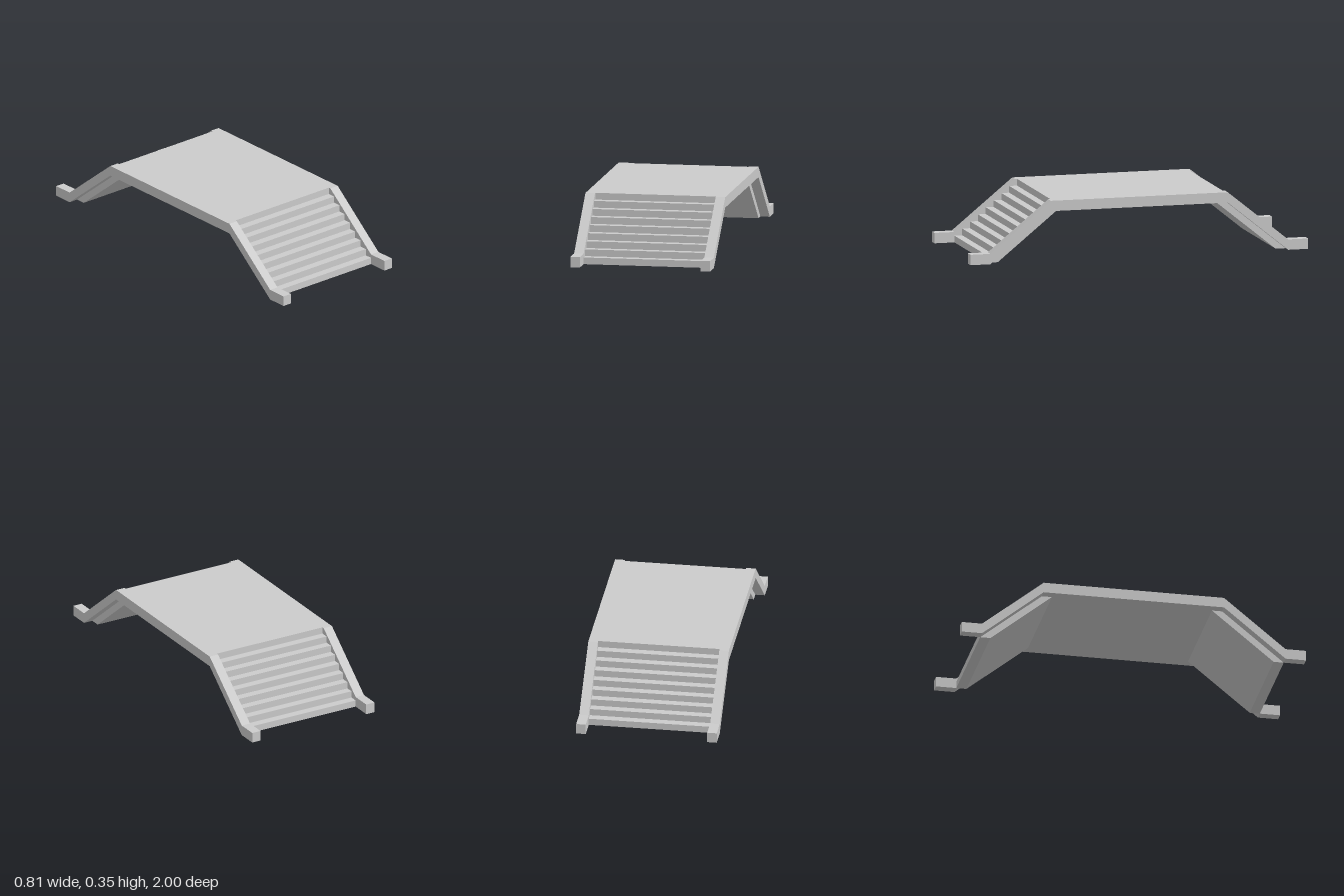
import * as THREE from 'three';

const HALF_W = 0.405, INNER = 0.35;      // outer and inner half widths
const TOP = 0.35, THICK = 0.06;          // deck height and beam thickness
const FOOT = 0.882, CREST = 0.524;       // where the side beams bend
const DECK_END = 0.511, STEPS = 9;

const material = new THREE.MeshStandardMaterial({ color: 0xcccccc, flatShading: true });

// Extrudes a [z, y] side profile across x, centred on the given x
function sideExtrude(name, points, width, x = 0) {
  const shape = new THREE.Shape(points.map(([z, y]) => new THREE.Vector2(z, y)));
  const geometry = new THREE.ExtrudeGeometry(shape, { depth: width, bevelEnabled: false });
  geometry.translate(0, 0, -width / 2).rotateY(-Math.PI / 2);
  const mesh = new THREE.Mesh(geometry, material);
  mesh.name = name;
  mesh.position.x = x;
  return mesh;
}

export function createModel() {
  const group = new THREE.Group();
  group.name = 'steppedFootbridge';

  // Side beams: foot, ramp, level span, ramp, foot
  const upper = [[1, THICK], [FOOT, THICK], [CREST, TOP]];
  const lower = [[CREST, TOP - THICK], [FOOT, 0], [1, 0]];
  const flip = (pts) => pts.map(([z, y]) => [-z, y]).reverse();
  const beam = [...upper, ...flip(upper), ...flip(lower), ...lower];
  for (const side of [1, -1]) {
    group.add(sideExtrude(side > 0 ? 'leftBeam' : 'rightBeam', beam,
      HALF_W - INNER, side * (HALF_W + INNER) / 2));
  }

  // Deck between the beams
  const deck = new THREE.Mesh(new THREE.BoxGeometry(INNER * 2, THICK, DECK_END * 2), material);
  deck.name = 'deck';
  deck.position.y = TOP - THICK / 2;
  group.add(deck);

  // Stairs with a sloping flat underside; the deck edge forms the last riser
  const rise = TOP / STEPS, run = (FOOT - DECK_END) / (STEPS - 1);
  const stairs = [[FOOT, 0]];
  for (let i = 0; i < STEPS - 1; i++) {
    stairs.push([FOOT - i * run, (i + 1) * rise], [FOOT - (i + 1) * run, (i + 1) * rise]);
  }
  stairs.push([DECK_END, TOP - THICK], [0.465, TOP - THICK], [0.823, 0]);
  group.add(sideExtrude('frontStairs', stairs, INNER * 2));
  const back = sideExtrude('backStairs', stairs, INNER * 2);
  back.rotation.y = Math.PI;
  group.add(back);

  return group;
}
